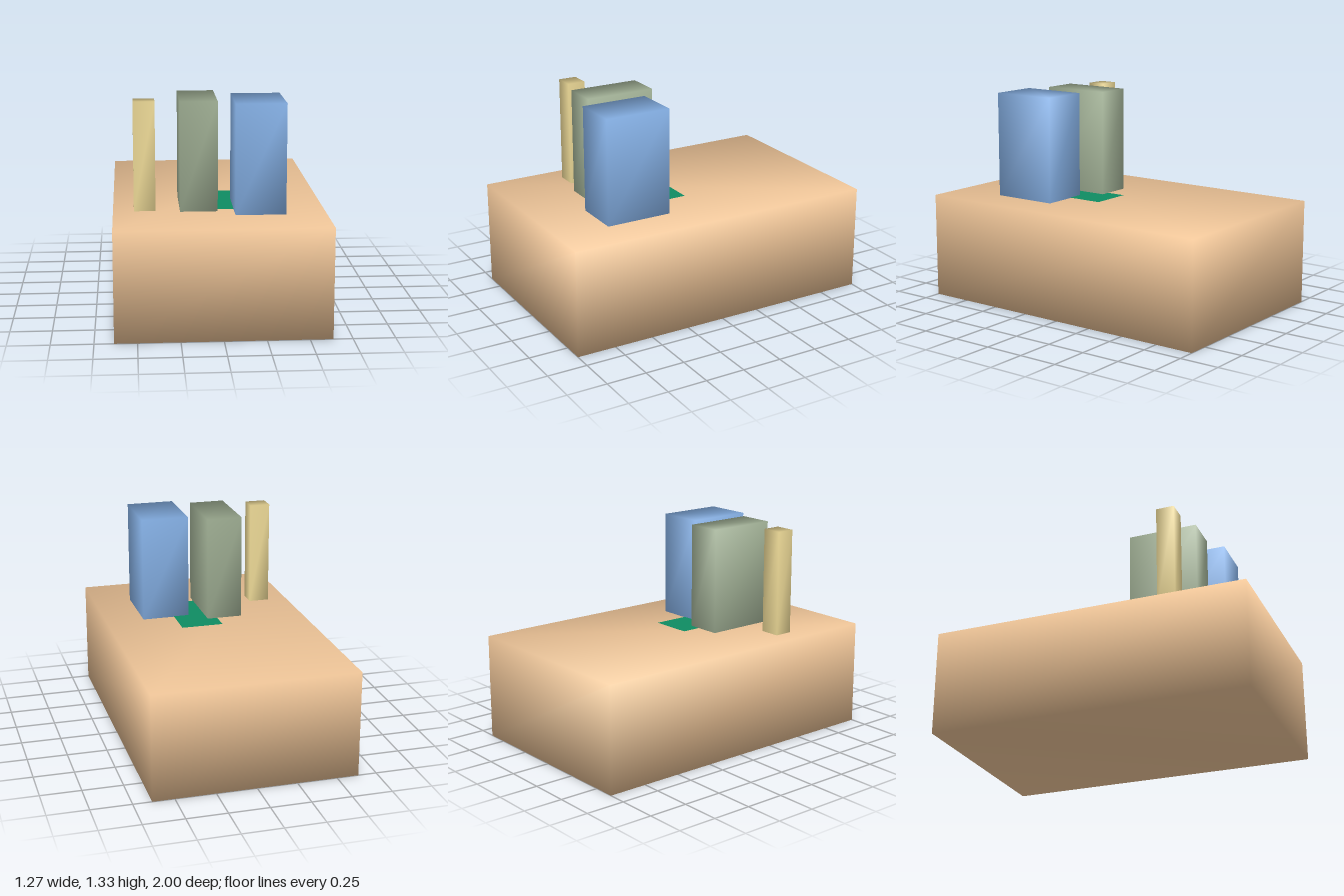
import * as THREE from 'three';
import { mergeVertices } from 'three/addons/utils/BufferGeometryUtils.js';

// Box given by its [min, max] extents, with shared corners shaded smoothly
function softBox(name, color, [x0, x1], [y0, y1], [z0, z1]) {
  let geometry = new THREE.BoxGeometry(x1 - x0, y1 - y0, z1 - z0);
  geometry.deleteAttribute('normal');
  geometry.deleteAttribute('uv');
  geometry = mergeVertices(geometry);
  geometry.computeVertexNormals();
  const mesh = new THREE.Mesh(geometry, new THREE.MeshStandardMaterial({ color }));
  mesh.name = name;
  mesh.position.set((x0 + x1) / 2, (y0 + y1) / 2, (z0 + z1) / 2);
  return mesh;
}

export function createModel() {
  const model = new THREE.Group();
  model.name = 'blocksOnBase';

  // Large base block
  model.add(softBox('base', 0xf0c699, [-0.635, 0.635], [0, 0.665], [-1, 1]));

  // Three upright blocks standing on the base
  model.add(softBox('narrowBlock', 0xf2de9a, [-0.51, -0.38], [0.665, 1.328], [0.41, 0.525]));
  model.add(softBox('middleBlock', 0xa6b69a, [-0.235, -0.01], [0.67, 1.333], [0.13, 0.575]));
  model.add(softBox('wideBlock', 0x88b4ea, [0.09, 0.392], [0.665, 1.33], [0.24, 0.66]));

  // Thin flat patch lying on top of the base
  const patch = new THREE.Mesh(
    new THREE.PlaneGeometry(0.265, 0.5),
    new THREE.MeshStandardMaterial({ color: 0x0f8c62, side: THREE.DoubleSide })
  );
  patch.name = 'patch';
  patch.rotation.x = -Math.PI / 2;
  patch.position.set(0.057, 0.668, 0.262);
  model.add(patch);

  return model;
}
